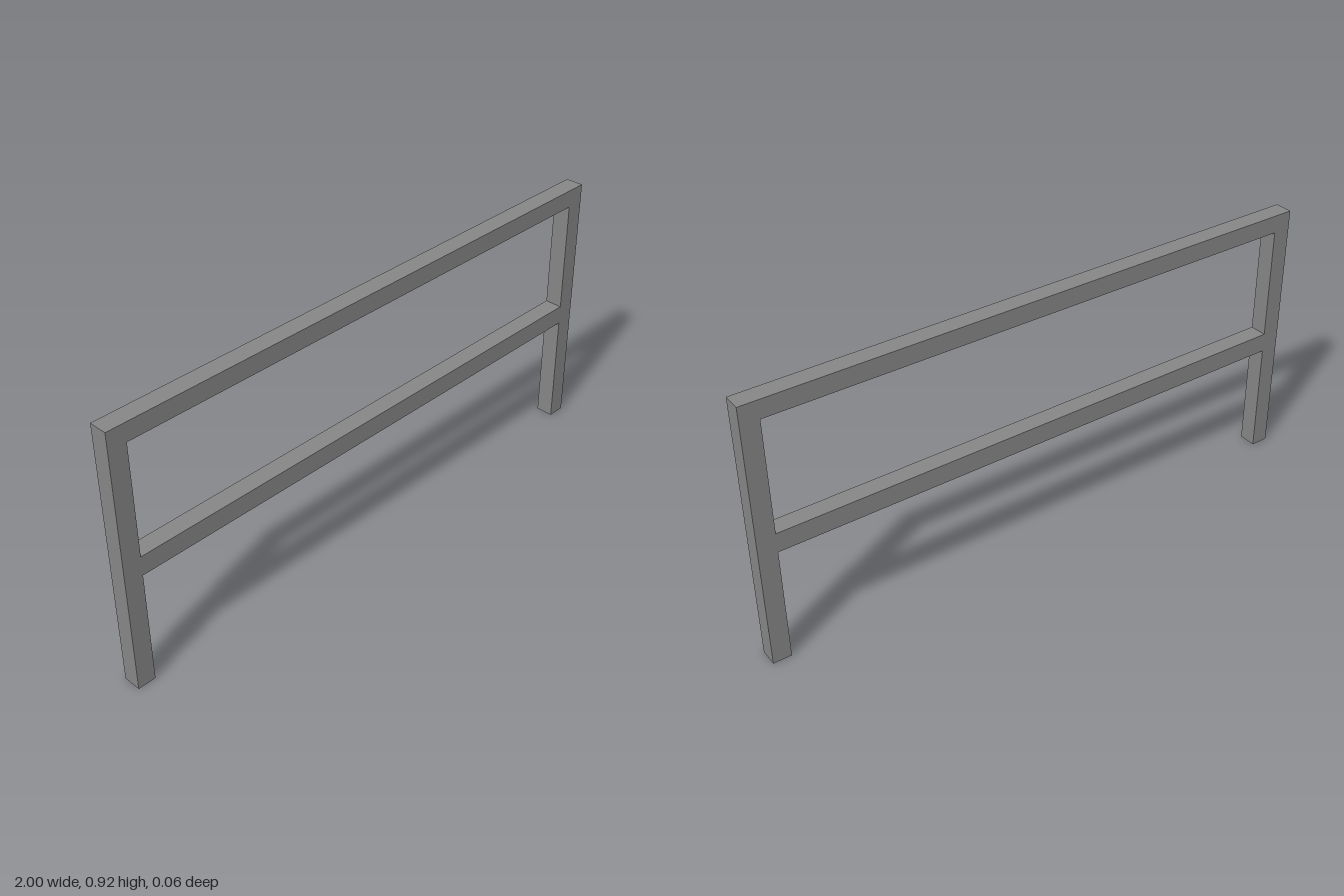
import * as THREE from 'three';

const T = 0.062; // square bar thickness
const WIDTH = 2;
const HEIGHT = 0.916;
const MID_RAIL_TOP = 0.465;

// BoxGeometry faces in order: +x, -x, +y, -y, +z, -z, six indices each
function openBox(w, h, d, openFaces) {
  const geometry = new THREE.BoxGeometry(w, h, d);
  const index = Array.from(geometry.index.array);
  geometry.setIndex(index.filter((_, i) => !openFaces.includes(Math.floor(i / 6))));
  geometry.clearGroups();
  return geometry;
}

export function createModel() {
  const model = new THREE.Group();
  model.name = 'railing';
  const material = new THREE.MeshStandardMaterial({ color: 0x868686, side: THREE.DoubleSide });

  const add = (name, geometry, x, y) => {
    const mesh = new THREE.Mesh(geometry, material);
    mesh.name = name;
    mesh.position.set(x, y, 0);
    model.add(mesh);
  };

  // Hollow posts, open at the foot
  const post = openBox(T, HEIGHT, T, [3]);
  for (const side of [1, -1]) {
    add(side > 0 ? 'leftPost' : 'rightPost', post, side * (WIDTH - T) / 2, HEIGHT / 2);
  }

  // Rails butt against the posts, so they need no end caps
  const addRail = (name, top, height) =>
    add(name, openBox(WIDTH - 2 * T, height, T, [0, 1]), 0, top - height / 2);
  addRail('topRail', HEIGHT, T);
  addRail('middleRail', MID_RAIL_TOP, 0.067);

  return model;
}
